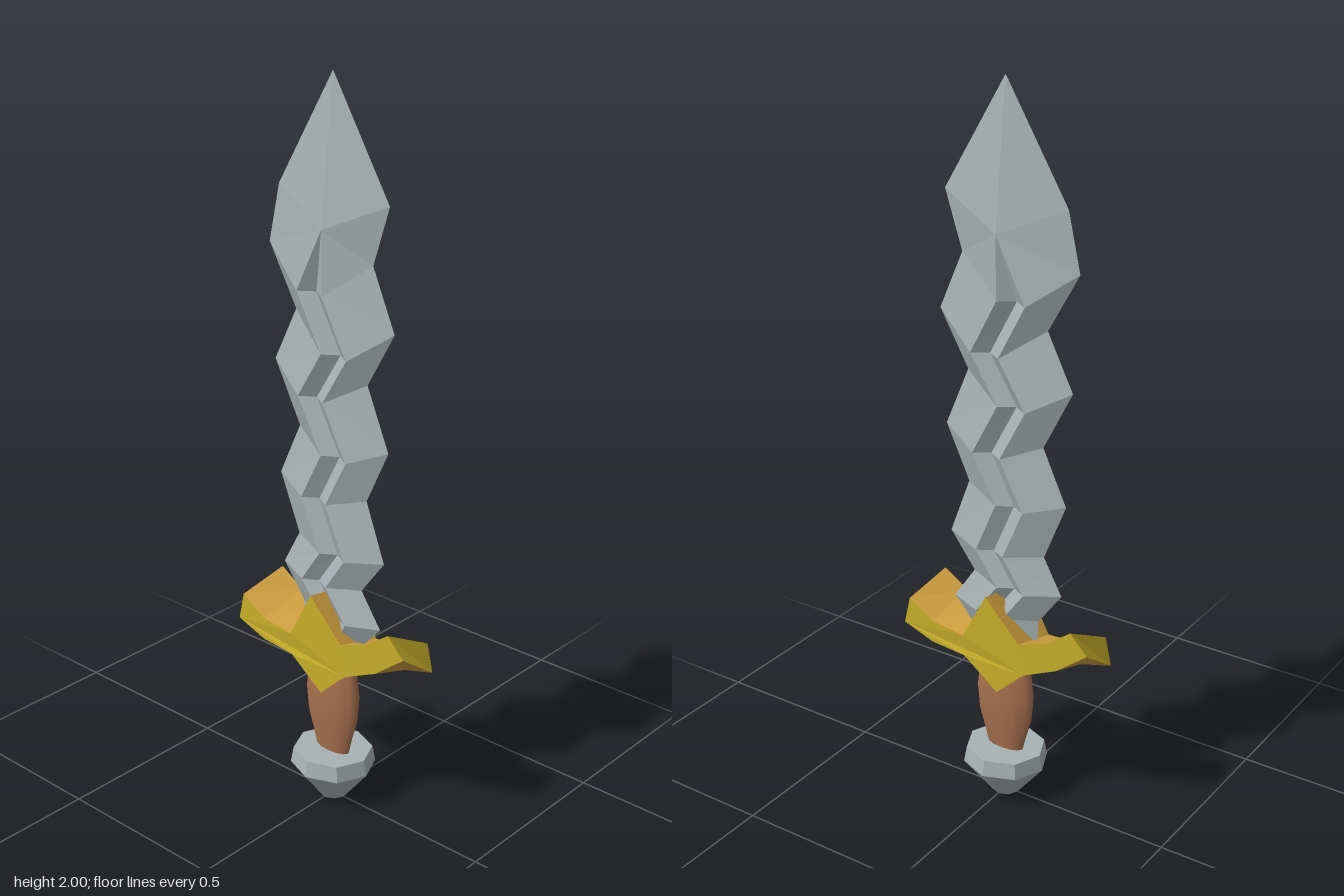
import * as THREE from 'three';

const mat = (name, color, flat = true) => {
  const m = new THREE.MeshStandardMaterial({ color, flatShading: flat });
  m.name = name;
  return m;
};

function meshFromTriangles(name, tris, material) {
  const g = new THREE.BufferGeometry();
  g.setAttribute('position', new THREE.Float32BufferAttribute(tris.flat(2), 3));
  g.computeVertexNormals();
  const mesh = new THREE.Mesh(g, material);
  mesh.name = name;
  return mesh;
}

// Wavy blade: rows of left edge, ridge, groove floor, ridge, right edge
function makeBlade(material) {
  // left edge x, right edge x, edge height, ridge height
  const waves = [
    [-0.215, 0.13, 1.545, 1.45],
    [-0.125, 0.20, 1.385, 1.30],
    [-0.20, 0.115, 1.235, 1.17],
    [-0.115, 0.185, 1.07, 1.025],
    [-0.185, 0.115, 0.92, 0.89],
    [-0.12, 0.175, 0.76, 0.745],
    [-0.175, 0.10, 0.66, 0.65],
    [-0.105, 0.165, 0.565, 0.56],
    [-0.10, 0.08, 0.47, 0.47],
  ];
  const tip = [0, 2, 0], apex = [0, 1.62, 0.044];
  const rows = [
    [tip, tip, tip, tip, tip],
    [[-0.18, 1.7, 0], apex, apex, apex, [0.18, 1.7, 0]],
  ];
  waves.forEach(([l, r, y, ry], i) => {
    const c = (l + r) / 2, z = 0.043 - i * 0.001;
    rows.push([[l, y, 0], [c - 0.042, ry, z], [c, ry, 0.014], [c + 0.042, ry, z], [r, y, 0]]);
  });
  const tris = [];
  const add = (a, b, c) => {
    if (a === b || b === c || a === c) return;
    tris.push([a, b, c]);
    const back = ([x, y, z]) => [x, y, -z];
    tris.push([back(a), back(c), back(b)]);
  };
  for (let i = 0; i < rows.length - 1; i++) {
    for (let j = 0; j < 4; j++) {
      const a = rows[i][j], b = rows[i][j + 1], c = rows[i + 1][j], d = rows[i + 1][j + 1];
      if (j < 2) { add(a, c, b); add(b, c, d); }
      else { add(a, c, d); add(a, d, b); }
    }
  }
  return meshFromTriangles('blade', tris, material);
}

// Twisted crossguard: the back outline is the front one turned half round
function makeGuard(faceMat, sideMat) {
  const outline = [
    [-0.02, 0.63], [-0.095, 0.49], [-0.20, 0.50], [-0.278, 0.545], [-0.297, 0.465],
    [-0.20, 0.435], [-0.09, 0.43], [0.015, 0.35], [0.10, 0.43], [0.20, 0.475],
    [0.29, 0.545], [0.24, 0.60], [0.17, 0.55], [0.085, 0.52],
  ];
  const depth = (x) => 0.067 - Math.max(0, Math.abs(x) - 0.09) * 0.05;
  const front = outline.map(([x, y]) => [x, y, depth(x)]);
  const turned = front.map(([x, y, z]) => [-x, y, -z]);
  // pair each front corner with the back corner on the same side
  const partner = [0, 13, 12, 11, 10, 9, 8, 7, 6, 5, 4, 3, 2, 1];
  const faces = [], sides = [];
  const flat = outline.map(([x, y]) => new THREE.Vector2(x, y));
  for (const t of THREE.ShapeUtils.triangulateShape(flat, [])) {
    const [p, q, r] = t.map((k) => flat[k]);
    const ccw = (q.x - p.x) * (r.y - p.y) - (q.y - p.y) * (r.x - p.x) > 0;
    const o = ccw ? t : [t[0], t[2], t[1]];
    faces.push(o.map((k) => front[k]), o.map((k) => turned[k]));
  }
  outline.forEach((_, i) => {
    const j = (i + 1) % outline.length;
    const a = front[i], b = front[j], c = turned[partner[i]], d = turned[partner[j]];
    const isEnd = i === 3 || i === 10;
    (isEnd ? faces : sides).push([a, c, b], [b, c, d]);
  });
  const guard = new THREE.Group();
  guard.name = 'crossguard';
  guard.add(meshFromTriangles('guardFaces', faces, faceMat));
  guard.add(meshFromTriangles('guardEdges', sides, sideMat));
  return guard;
}

function lathe(name, points, sides, material, sx, sz) {
  const g = new THREE.LatheGeometry(points.map(([r, y]) => new THREE.Vector2(r, y)), sides);
  g.scale(sx, 1, sz);
  const mesh = new THREE.Mesh(g, material);
  mesh.name = name;
  return mesh;
}

export function createModel() {
  const steel = mat('steel', 0xa9b2b4);
  const gold = mat('gold', 0xc9b02a);
  const bronze = mat('bronze', 0xcf9f40);
  const leather = mat('leather', 0xa8714f, false);

  const group = new THREE.Group();
  group.name = 'dagger';
  group.add(makeBlade(steel), makeGuard(gold, bronze));

  // Flattened, swelling grip
  group.add(lathe('grip', [[0.05, 0.12], [0.065, 0.18], [0.085, 0.25], [0.091, 0.32], [0.082, 0.39], [0.07, 0.44]],
    12, leather, 1, 0.42));

  // Eight-sided pommel
  group.add(lathe('pommel', [[0, 0], [0.038, 0], [0.115, 0.1], [0.107, 0.145], [0, 0.145]],
    8, steel, 1.05, 0.985));
  return group;
}
